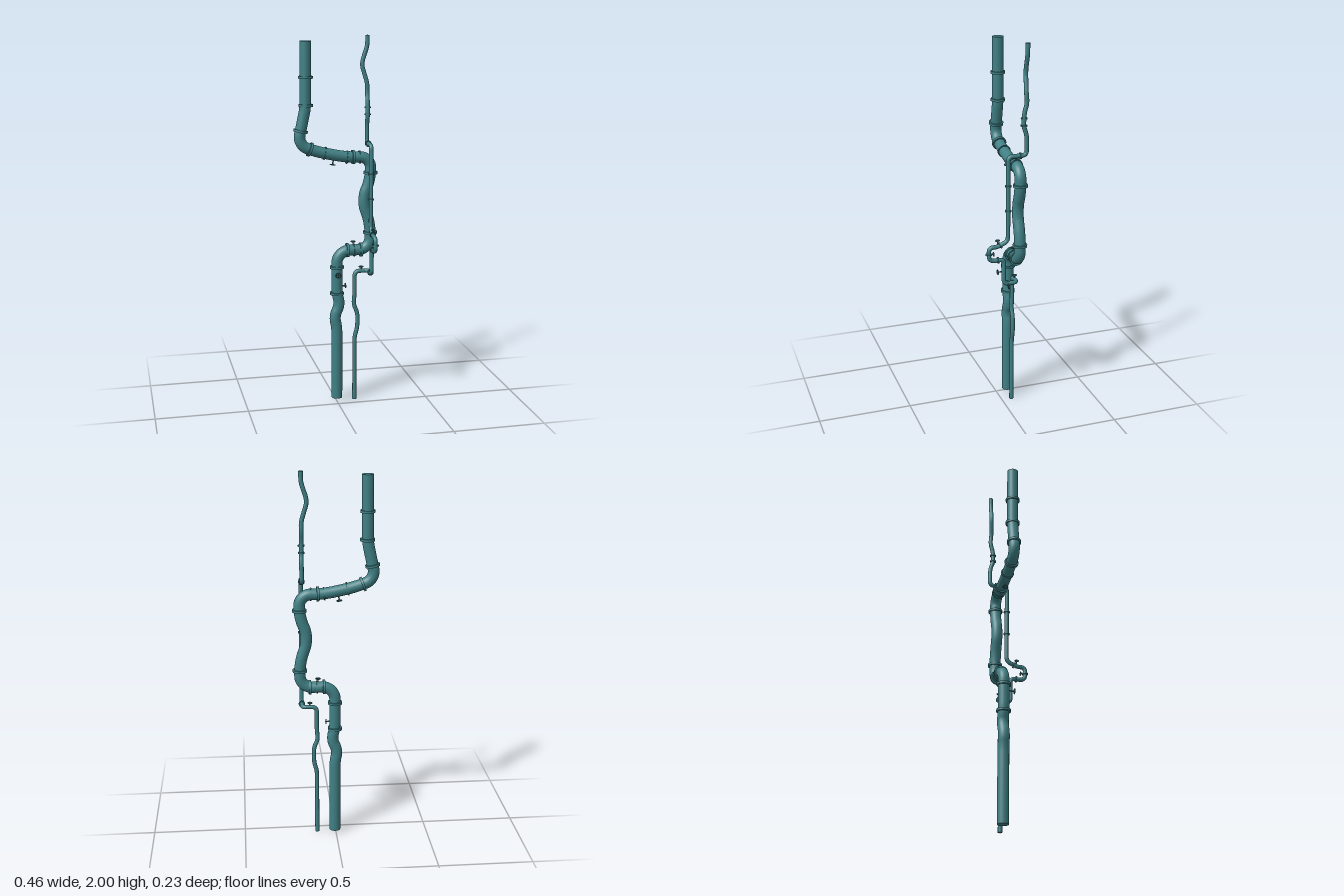
import * as THREE from 'three';

const material = new THREE.MeshStandardMaterial({ color: 0x408085 });
const V = (p) => new THREE.Vector3(p[0], p[1], p[2]);
const UP = new THREE.Vector3(0, 1, 0);

function add(parent, geometry, name) {
  const mesh = new THREE.Mesh(geometry, material);
  mesh.name = name;
  parent.add(mesh);
  return mesh;
}

// Polyline whose corners are rounded; each point is [x, y, z, corner length]
function roundedPath(points) {
  const path = new THREE.CurvePath();
  let last = V(points[0]);
  for (let i = 1; i < points.length - 1; i++) {
    const a = V(points[i - 1]), b = V(points[i]), c = V(points[i + 1]);
    const ab = a.distanceTo(b), bc = b.distanceTo(c);
    const d = Math.min(points[i][3] ?? 0.03, ab * 0.48, bc * 0.48);
    const start = b.clone().lerp(a, d / ab);
    const end = b.clone().lerp(c, d / bc);
    path.add(new THREE.LineCurve3(last, start));
    // Handles at 0.55 make right-angle corners near circular
    path.add(new THREE.CubicBezierCurve3(start, start.clone().lerp(b, 0.55), end.clone().lerp(b, 0.55), end));
    last = end;
  }
  path.add(new THREE.LineCurve3(last, V(points[points.length - 1])));
  return path;
}

// Tube with closed ends
function pipe(parent, points, radius, segments, sides, name) {
  const path = roundedPath(points);
  add(parent, new THREE.TubeGeometry(path, segments, radius, sides), name);
  for (const t of [0, 1]) {
    const cap = add(parent, new THREE.CircleGeometry(radius, sides), name + 'End');
    const dir = path.getTangentAt(t).multiplyScalar(t ? 1 : -1);
    cap.position.copy(path.getPointAt(t));
    cap.quaternion.setFromUnitVectors(new THREE.Vector3(0, 0, 1), dir);
  }
}

// Collar around a pipe
function flange(parent, pos, dir, radius, width) {
  const ring = add(parent, new THREE.CylinderGeometry(radius, radius, width, 28), 'flange');
  ring.position.copy(V(pos));
  ring.quaternion.setFromUnitVectors(UP, V(dir).normalize());
}

// Stem with a spoked hand wheel, growing outward from the pipe axis
function valve(parent, pos, dir, length, wheelRadius) {
  const group = new THREE.Group();
  group.name = 'valve';
  add(group, new THREE.CylinderGeometry(0.0035, 0.0045, length, 10), 'stem').position.y = length / 2;
  const wheel = add(group, new THREE.TorusGeometry(wheelRadius, 0.0022, 6, 20), 'handWheel');
  wheel.rotation.x = Math.PI / 2;
  wheel.position.y = length - 0.005;
  for (const turn of [0, Math.PI / 2]) {
    const spoke = add(group, new THREE.BoxGeometry(wheelRadius * 2, 0.003, 0.003), 'spoke');
    spoke.rotation.y = turn;
    spoke.position.y = length - 0.005;
  }
  group.position.copy(V(pos));
  group.quaternion.setFromUnitVectors(UP, V(dir).normalize());
  parent.add(group);
}

export function createModel() {
  const model = new THREE.Group();
  model.name = 'pipework';

  // Wide pipe, lying in one plane
  const wide = new THREE.Group();
  wide.name = 'widePipe';
  model.add(wide);
  const Z = -0.066;
  pipe(wide, [
    [0.005, 0.015, Z], [0.005, 0.42, Z, 0.03], [-0.009, 0.485, Z, 0.03],
    [0.022, 0.55, Z, 0.03], [0.005, 0.62, Z, 0.03], [0.005, 0.853, Z, 0.07],
    [0.19, 0.853, Z, 0.07], [0.19, 0.99, Z, 0.05], [0.143, 1.13, Z, 0.07],
    [0.19, 1.24, Z, 0.05], [0.19, 1.36, Z, 0.065], [0.06, 1.362, Z, 0.05],
    [-0.1, 1.395, Z, 0.05], [-0.205, 1.435, Z, 0.065], [-0.163, 1.63, Z, 0.03],
    [-0.161, 1.975, Z],
  ], 0.03, 420, 28, 'wideTube');

  // Broad collars: [x, y, direction x, direction y]
  for (const [x, y, dx, dy] of [
    [0.005, 0.615, 0, 1], [0.005, 0.762, 0, 1], [0.063, 0.853, 1, 0], [0.138, 0.853, 1, 0],
    [0.19, 0.948, 0, 1], [0.19, 1.275, 0, 1], [0.094, 1.362, 1, 0],
    [-0.14, 1.41, -1, 0.4], [-0.189, 1.508, 0.21, 1], [-0.161, 1.642, 0, 1], [-0.161, 1.788, 0, 1],
  ]) flange(wide, [x, y, Z], [dx, dy, 0], 0.038, 0.013);
  // Slim collars
  for (const [x, y, dx, dy] of [
    [0.06, 1.362, 1, -0.1], [0.13, 1.361, 1, 0], [-0.06, 1.387, 1, -0.2], [0.1, 0.853, 1, 0],
  ]) flange(wide, [x, y, Z], [dx, dy, 0], 0.035, 0.006);

  valve(wide, [0.002, 0.728, Z], [0, 0, 1], 0.062, 0.014);
  valve(wide, [0.005, 0.655, Z], [1, 0, 0], 0.053, 0.013);
  valve(wide, [0.095, 0.853, Z], [0, 1, 0], 0.052, 0.013);
  valve(wide, [-0.01, 1.377, Z], [-0.15, -1, 0], 0.058, 0.014);

  // Narrow pipe, weaving forward and back beside the wide one
  const narrow = new THREE.Group();
  narrow.name = 'narrowPipe';
  model.add(narrow);
  const X = 0.178;
  pipe(narrow, [
    [0.102, 0, -0.055], [0.102, 0.36, -0.055, 0.02], [0.118, 0.42, -0.055, 0.02],
    [0.118, 0.5, -0.055, 0.02], [0.096, 0.55, -0.055, 0.02], [0.102, 0.61, -0.055, 0.02],
    [0.102, 0.737, -0.055, 0.025], [X, 0.737, -0.055, 0.02], [X, 0.737, 0.018, 0.022],
    [X, 0.875, 0.018, 0.02], [X, 0.875, 0.1, 0.026], [X, 0.95, 0.1, 0.026],
    [X, 0.95, 0.055, 0.015], [X, 0.975, -0.004, 0.022], [X, 1.43, -0.004, 0.022],
    [X, 1.43, -0.102, 0.022], [X, 1.535, -0.102, 0.02], [X, 1.58, -0.085, 0.02],
    [X, 1.65, -0.088, 0.02], [X, 1.7, -0.103, 0.02], [X, 1.745, -0.098, 0.02],
    [0.15, 1.84, -0.104, 0.025], [0.153, 1.87, -0.104, 0.02],
    [X, 1.945, -0.103, 0.02], [X, 2, -0.103],
  ], 0.0115, 520, 16, 'narrowTube');

  // Small collars: [position, direction]
  for (const [pos, dir] of [
    [[X, 1.14, -0.004], [0, 1, 0]], [[X, 1.275, -0.004], [0, 1, 0]],
    [[X, 1.585, -0.086], [0, 1, 0]], [[X, 1.622, -0.087], [0, 1, 0]],
    [[X, 0.737, -0.005], [0, 0, 1]], [[X, 0.912, 0.1], [0, 1, 0]],
    [[X, 0.957, 0.038], [0, -0.4, 1]], [[X, 0.875, 0.05], [0, 0, 1]],
    [[X, 1.43, -0.07], [0, 0, 1]],
  ]) flange(narrow, pos, dir, 0.017, 0.007);

  valve(narrow, [0.138, 0.737, -0.055], [0, 1, 0], 0.028, 0.012);
  valve(narrow, [X, 0.952, 0.05], [0, 1, 0.1], 0.038, 0.011);
  valve(narrow, [X, 0.912, 0.1], [0, 0, -1], 0.03, 0.01);

  return model;
}
